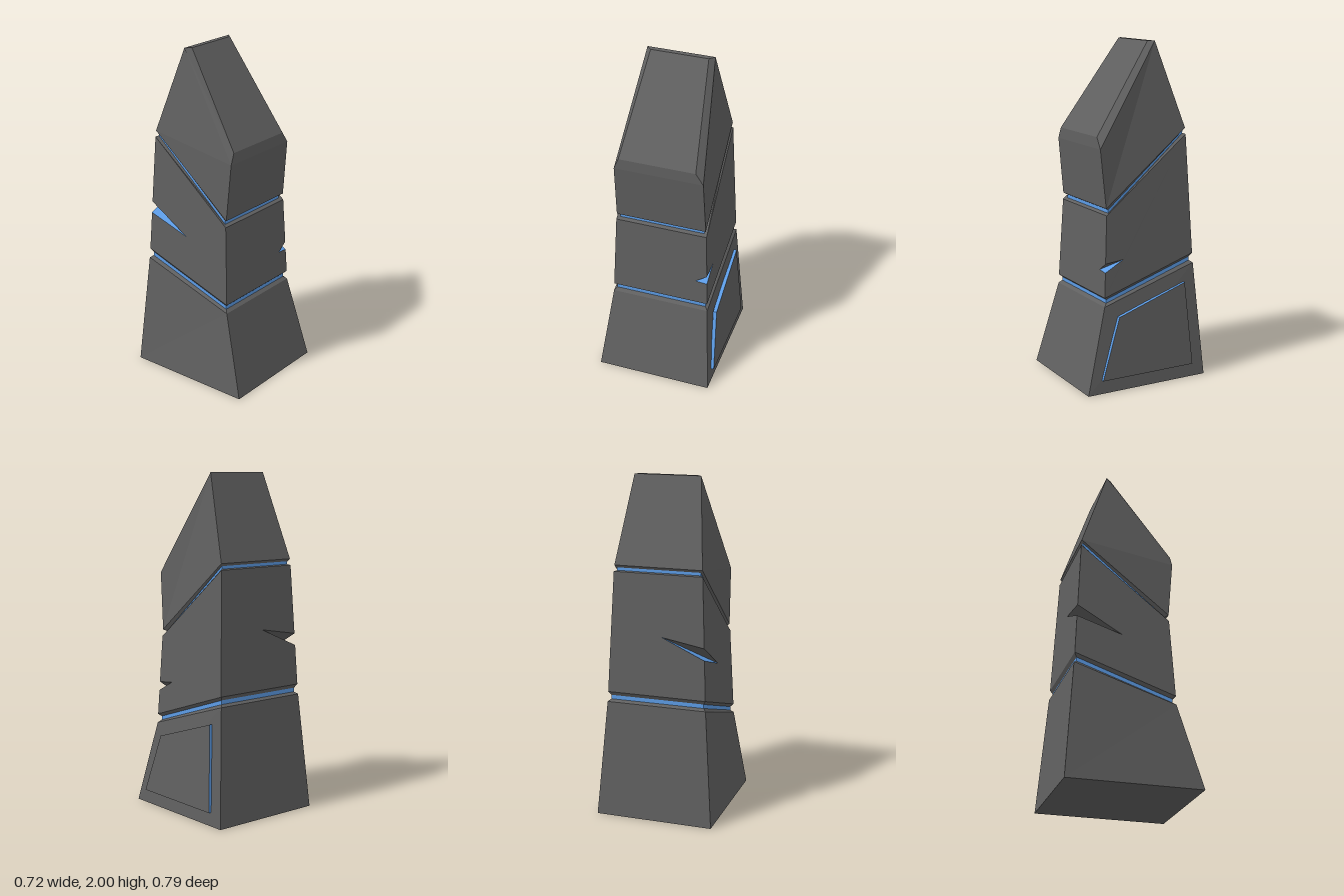
import * as THREE from 'three';

const stone = new THREE.MeshStandardMaterial({ color: 0x606060, flatShading: true });
const glow = new THREE.MeshStandardMaterial({ color: 0x5c9ce6, flatShading: true });
const CX = -0.006;

// Four corners, counter-clockwise from above, starting front at -x
function ring(yF, zF, hwF, yB, zB, hwB, cxF = CX) {
  return [
    new THREE.Vector3(cxF - hwF, yF, zF), new THREE.Vector3(cxF + hwF, yF, zF),
    new THREE.Vector3(CX + hwB, yB, zB), new THREE.Vector3(CX - hwB, yB, zB),
  ];
}

// Mesh from convex polygons, each listed counter-clockwise from outside
function polyMesh(name, polys, material) {
  const pos = [];
  for (const p of polys)
    for (let i = 1; i < p.length - 1; i++)
      for (const v of [p[0], p[i], p[i + 1]]) pos.push(v.x, v.y, v.z);
  const g = new THREE.BufferGeometry();
  g.setAttribute('position', new THREE.Float32BufferAttribute(pos, 3));
  g.computeVertexNormals();
  const m = new THREE.Mesh(g, material);
  m.name = name;
  return m;
}

const band = (lo, hi) => [0, 1, 2, 3].map((i) => {
  const j = (i + 1) % 4;
  return [lo[i], lo[j], hi[j], hi[i]];
});

// Shaft whose corners can carry a wedge-shaped chip
function chippedBand(lo, hi, chips) {
  const edge = (k, y) => {
    const a = lo[k % 4], b = hi[k % 4];
    return a.clone().lerp(b, (y - a.y) / (b.y - a.y));
  };
  const onFace = (k, [t, y]) => edge(k, y).lerp(edge(k + 1, y), t);
  const cuts = {};
  for (const c of chips) {
    cuts[c.corner] = {
      T: edge(c.corner, c.top), B: edge(c.corner, c.bottom),
      A: onFace(c.corner - 1, c.before), S: onFace(c.corner, c.after),
    };
  }
  const flat = [
    (v) => new THREE.Vector2(v.x, v.y), (v) => new THREE.Vector2(-v.z, v.y),
    (v) => new THREE.Vector2(-v.x, v.y), (v) => new THREE.Vector2(v.z, v.y),
  ];
  const walls = [], floors = [];
  for (let k = 0; k < 4; k++) {
    const j = (k + 1) % 4, cj = cuts[j], ck = cuts[k];
    const p = [lo[k], lo[j]];
    if (cj) p.push(cj.B, cj.A, cj.T);
    p.push(hi[j], hi[k]);
    if (ck) p.push(ck.T, ck.S, ck.B);
    for (const f of THREE.ShapeUtils.triangulateShape(p.map(flat[k]), []))
      walls.push(f.map((i) => p[i]));
  }
  for (const { T, B, A, S } of Object.values(cuts)) {
    walls.push([A, S, T]);
    floors.push([A, B, S]);
  }
  return { walls, floors };
}

export function createModel() {
  const model = new THREE.Group();
  model.name = 'monolith';

  // Cross-sections from the ground up; each slants up towards the back
  const base = ring(0, 0.395, 0.353, 0, -0.392, 0.353);
  const baseTop = ring(0.5, 0.26, 0.3, 0.69, -0.337, 0.3);
  const lowA = ring(0.517, 0.242, 0.283, 0.703, -0.319, 0.283);
  const lowB = ring(0.539, 0.242, 0.283, 0.727, -0.319, 0.283);
  const midLow = ring(0.553, 0.258, 0.298, 0.75, -0.333, 0.297);
  const midTop = ring(1.03, 0.234, 0.278, 1.46, -0.297, 0.266);
  const highA = ring(1.04, 0.214, 0.258, 1.465, -0.284, 0.25);
  const highB = ring(1.06, 0.214, 0.258, 1.482, -0.284, 0.25);
  const capLow = ring(1.07, 0.234, 0.273, 1.497, -0.294, 0.263);
  const capSide = ring(1.41, 0.265, 0.266, 2, -0.124, 0.199, -0.009);
  const capFace = ring(1.475, 0.262, 0.229, 2, -0.093, 0.17, -0.018);

  model.add(polyMesh('baseBlock', [
    [...base].reverse(), ...band(base, baseTop), ...band(baseTop, lowA),
  ], stone));
  model.add(polyMesh('lowerGlowBand', band(lowA, lowB), glow));

  // Middle shaft with two chipped corners
  const mid = chippedBand(midLow, midTop, [
    { corner: 1, top: 0.752, bottom: 0.7, before: [0.878, 0.705], after: [0.2, 0.765] },
    { corner: 3, top: 1.055, bottom: 0.985, before: [0.55, 1.1], after: [0.48, 0.9] },
  ]);
  model.add(polyMesh('middleBlock', [
    ...band(lowB, midLow), ...mid.walls, ...band(midTop, highA),
  ], stone));
  model.add(polyMesh('chipGlow', mid.floors, glow));

  // Top block with a bevelled, sloping front
  model.add(polyMesh('upperGlowBand', band(highA, highB), glow));
  model.add(polyMesh('topBlock', [
    ...band(highB, capLow), ...band(capLow, capSide), ...band(capSide, capFace), capFace,
  ], stone));

  // Raised panel on the +x side with glowing edges
  const outline = [[0.305, 0.08], [-0.303, 0.08], [-0.266, 0.583], [0.183, 0.437]];
  const layer = (x) => outline.map(([z, y]) =>
    new THREE.Vector3(x - 0.076 * (y - 0.08), y, z));
  const inner = layer(0.336), outer = layer(0.358);
  model.add(polyMesh('sidePanelFace', [outer], stone));
  model.add(polyMesh('sidePanelEdge', band(inner, outer), glow));

  return model;
}
